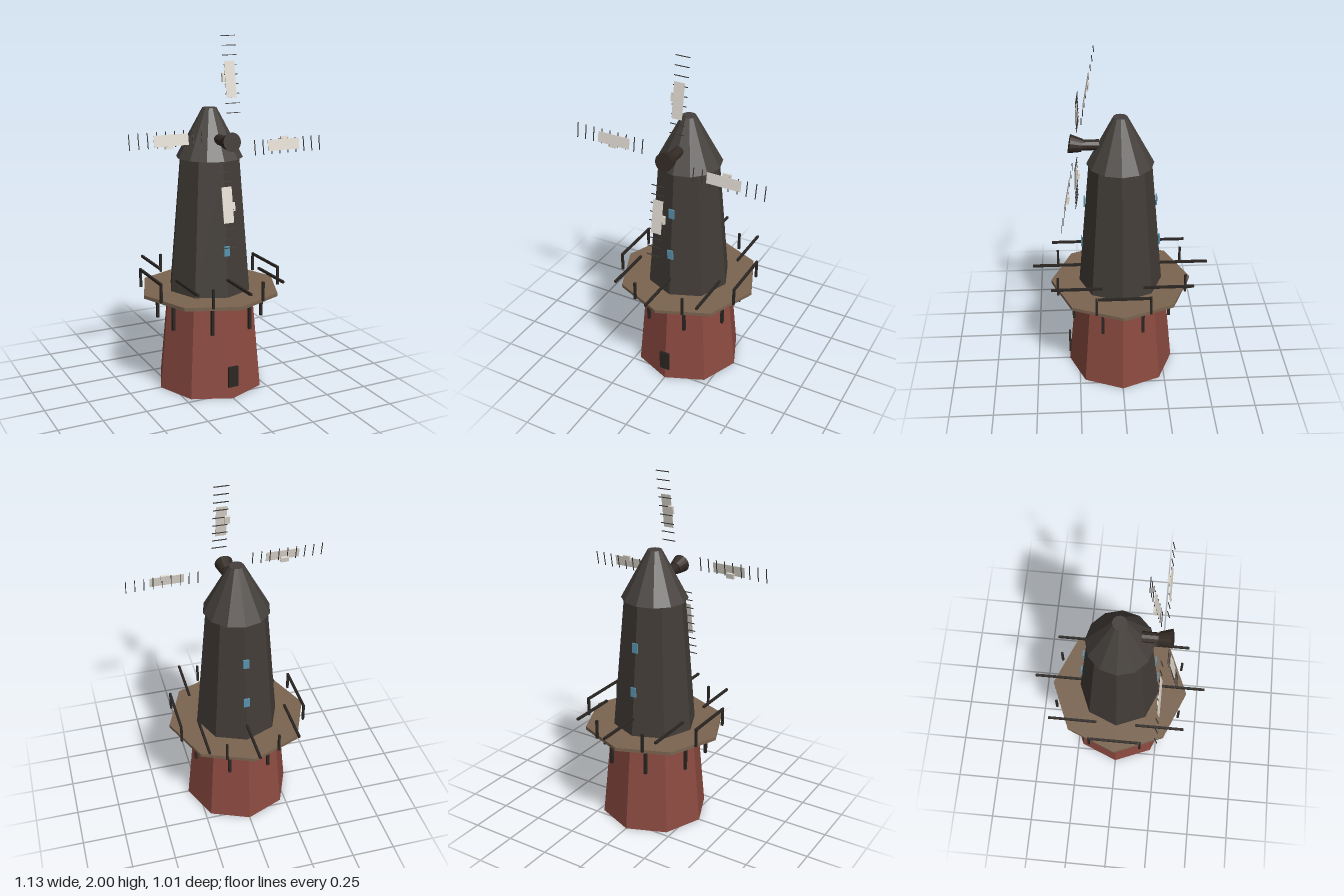
import * as THREE from 'three';

const mat = (color) => new THREE.MeshStandardMaterial({ color, flatShading: true });
const BRICK = mat(0x8b4a40), TOWER = mat(0x423c37), CAP = mat(0x45403c), DECK = mat(0x7a6450);
const WOOD = mat(0x2b2622), HUB = mat(0x332a24), GLASS = mat(0x5a93ae), SAIL = mat(0xe0dad0), SLAT = mat(0x3a3734);

function add(parent, name, geometry, material, x = 0, y = 0, z = 0) {
  const mesh = new THREE.Mesh(geometry, material);
  mesh.name = name;
  mesh.position.set(x, y, z);
  parent.add(mesh);
  return mesh;
}

const box = (w, h, d) => new THREE.BoxGeometry(w, h, d);

// Upright tapered prism standing between two heights
function prism(parent, name, material, rBottom, rTop, y0, y1, sides) {
  const geo = new THREE.CylinderGeometry(rTop, rBottom, y1 - y0, sides);
  return add(parent, name, geo, material, 0, (y0 + y1) / 2, 0);
}

export function createModel() {
  const mill = new THREE.Group();
  mill.name = 'windmill';

  // Tower body
  prism(mill, 'brickBase', BRICK, 0.31, 0.257, 0, 0.557, 8);
  prism(mill, 'galleryDeck', DECK, 0.405, 0.405, 0.555, 0.575, 8);
  prism(mill, 'upperTower', TOWER, 0.24, 0.175, 0.575, 1.33, 8);
  prism(mill, 'cap', CAP, 0.187, 0.04, 1.33, 1.603, 12);

  // Gallery: rails all run front to back, posts and brackets sit on the half steps
  const gallery = new THREE.Group();
  gallery.name = 'gallery';
  mill.add(gallery);
  for (let i = 0; i < 8; i++) {
    const a = (i * Math.PI) / 4, b = a + Math.PI / 8;
    add(gallery, 'rail', box(0.013, 0.013, 0.285), WOOD, 0.364 * Math.sin(a), 0.676, 0.364 * Math.cos(a));
    add(gallery, 'railPost', box(0.013, 0.11, 0.013), WOOD, 0.394 * Math.sin(b), 0.628, 0.394 * Math.cos(b));
    add(gallery, 'bracket', box(0.016, 0.145, 0.016), WOOD, 0.3 * Math.sin(b), 0.458, 0.3 * Math.cos(b));
  }

  // Door and windows
  add(mill, 'door', box(0.06, 0.12, 0.012), WOOD, 0, 0.13, 0.306);
  for (const side of [1, -1]) {
    add(mill, 'lowerWindow', box(0.034, 0.056, 0.008), GLASS, 0, 0.838, side * 0.222);
    add(mill, 'upperWindow', box(0.034, 0.056, 0.008), GLASS, 0, 1.095, side * 0.202);
  }

  // Windshaft
  const shaft = new THREE.CylinderGeometry(0.03, 0.03, 0.11, 10).rotateX(Math.PI / 2);
  add(mill, 'windshaft', shaft, HUB, 0, 1.442, 0.17);

  // Rotor, leaning back ten degrees
  const rotor = new THREE.Group();
  rotor.name = 'rotor';
  rotor.position.set(0, 1.445, 0.238);
  rotor.rotation.x = -Math.PI / 18;
  mill.add(rotor);
  const hub = new THREE.CylinderGeometry(0.052, 0.036, 0.07, 16).rotateX(Math.PI / 2);
  add(rotor, 'hub', hub, HUB, 0, 0, 0.005);

  // Four blades of slats with a cloth panel and a small patch behind it
  for (let k = 0; k < 4; k++) {
    const blade = new THREE.Group();
    blade.name = 'blade';
    blade.rotation.z = (-k * Math.PI) / 2;
    rotor.add(blade);
    for (let i = 0; i < 9; i++) {
      add(blade, 'slat', box(0.083, 0.004, 0.004), SLAT, 0.041, 0.155 + 0.0508 * i, -0.001);
    }
    add(blade, 'sailPanel', box(0.06, 0.194, 0.003), SAIL, 0.035, 0.331, 0.002);
    add(blade, 'sailPatch', box(0.03, 0.046, 0.013), SAIL, 0.005, 0.343, -0.006);
  }
  return mill;
}
